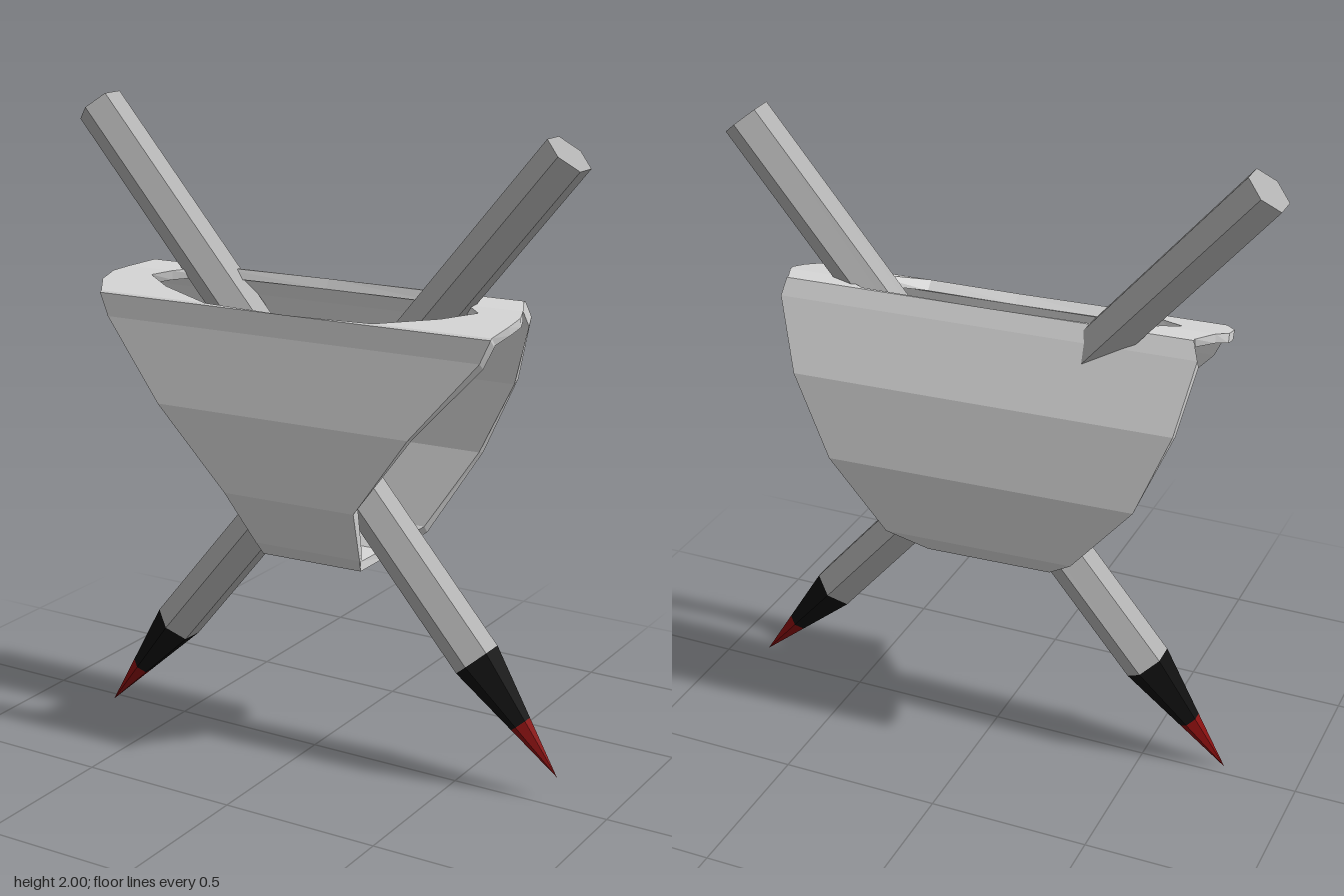
import * as THREE from 'three';

const mat = (name, color, side = THREE.FrontSide) => {
  const m = new THREE.MeshStandardMaterial({ color, side, flatShading: true });
  m.name = name;
  return m;
};

// Hexagonal stake with a dark sharpened cone and a red point, from tip to butt end
function stake(name, tip, end, mats) {
  const R = 0.075, CONE = 0.42, POINT = 0.19;
  const a = new THREE.Vector3(...tip), b = new THREE.Vector3(...end);
  const length = a.distanceTo(b);
  const group = new THREE.Group();
  group.name = name;
  const section = (part, r0, r1, y0, y1, material) => {
    const geo = new THREE.CylinderGeometry(r1, r0, y1 - y0, 6).translate(0, (y0 + y1) / 2, 0);
    const mesh = new THREE.Mesh(geo, material);
    mesh.name = part;
    group.add(mesh);
  };
  const mid = R * POINT / CONE;
  section('point', 0, mid, 0, POINT, mats.red);
  section('sharpenedCone', mid, R, POINT, CONE, mats.black);
  section('shaft', R, R, CONE, length, mats.shaft);
  group.position.copy(a);
  group.quaternion.setFromUnitVectors(new THREE.Vector3(0, 1, 0), b.sub(a).normalize());
  return group;
}

// Band stations around the loop: z, y, left x, right x, half width of the top opening
const STATIONS = [
  [0.175, 1.43, -0.65, 0.65, 0],
  [0.18, 1.36, -0.62, 0.62, 0],
  [0.22, 1.12, -0.42, 0.42, 0],
  [0.185, 0.86, -0.21, 0.23, 0],
  [0.085, 0.68, -0.16, 0.20, 0],
  [0.04, 0.63, -0.16, 0.18, 0],
  [-0.08, 0.64, -0.20, 0.20, 0],
  [-0.15, 0.72, -0.29, 0.31, 0],
  [-0.22, 0.98, -0.50, 0.46, 0],
  [-0.19, 1.23, -0.60, 0.58, 0],
  [-0.11, 1.44, -0.64, 0.65, 0],
  [-0.085, 1.49, -0.62, 0.64, 0],
  [-0.075, 1.49, -0.62, 0.64, 0.40],
  [0.0, 1.48, -0.66, 0.67, 0.50],
  [0.04, 1.47, -0.69, 0.68, 0.55],
  [0.10, 1.455, -0.69, 0.67, 0.46],
  [0.168, 1.435, -0.65, 0.65, 0.28],
];

// Thick-walled band swept around the loop, with an opening left in its top
function bandGeometry() {
  const pos = [];
  const quad = (a, b, c, d) => pos.push(...a, ...b, ...c, ...a, ...c, ...d);
  const outer = (s, x) => [x, s[1], s[0]];
  const inner = (s, x) => [x, 1.07 + (s[1] - 1.07) * 0.93, s[0] * 0.85];
  const strip = (s, t, s0, s1, t0, t1) => {
    quad(outer(s, s0), outer(t, t0), outer(t, t1), outer(s, s1));
    quad(inner(s, s1), inner(t, t1), inner(t, t0), inner(s, s0));
    quad(outer(s, s0), inner(s, s0), inner(t, t0), outer(t, t0));
    quad(outer(t, t1), inner(t, t1), inner(s, s1), outer(s, s1));
  };
  STATIONS.forEach((s, i) => {
    const t = STATIONS[(i + 1) % STATIONS.length];
    if (s[4] + t[4] === 0) {
      strip(s, t, s[2], s[3], t[2], t[3]);
    } else {
      strip(s, t, s[2], -s[4], t[2], -t[4]);
      strip(s, t, s[4], s[3], t[4], t[3]);
    }
  });
  const geo = new THREE.BufferGeometry();
  geo.setAttribute('position', new THREE.Float32BufferAttribute(pos, 3));
  geo.computeVertexNormals();
  return geo;
}

export function createModel() {
  const mats = {
    band: mat('pale grey band', 0xd8d8d8, THREE.DoubleSide),
    shaft: mat('grey shaft', 0xb0b0b0),
    black: mat('black cone', 0x0d0d0d),
    red: mat('dark red point', 0x860d0d),
  };
  const model = new THREE.Group();
  model.name = 'bandWithCrossedStakes';

  const band = new THREE.Mesh(bandGeometry(), mats.band);
  band.name = 'band';
  band.rotation.y = 0.045;
  model.add(band);

  // Crossed stakes
  model.add(stake('stakeLeaningLeft', [-0.76, 0.005, 0.035], [0.802, 1.937, -0.015], mats));
  model.add(stake('stakeLeaningRight', [0.82, 0.08, -0.037], [-0.81, 1.96, -0.045], mats));
  return model;
}
